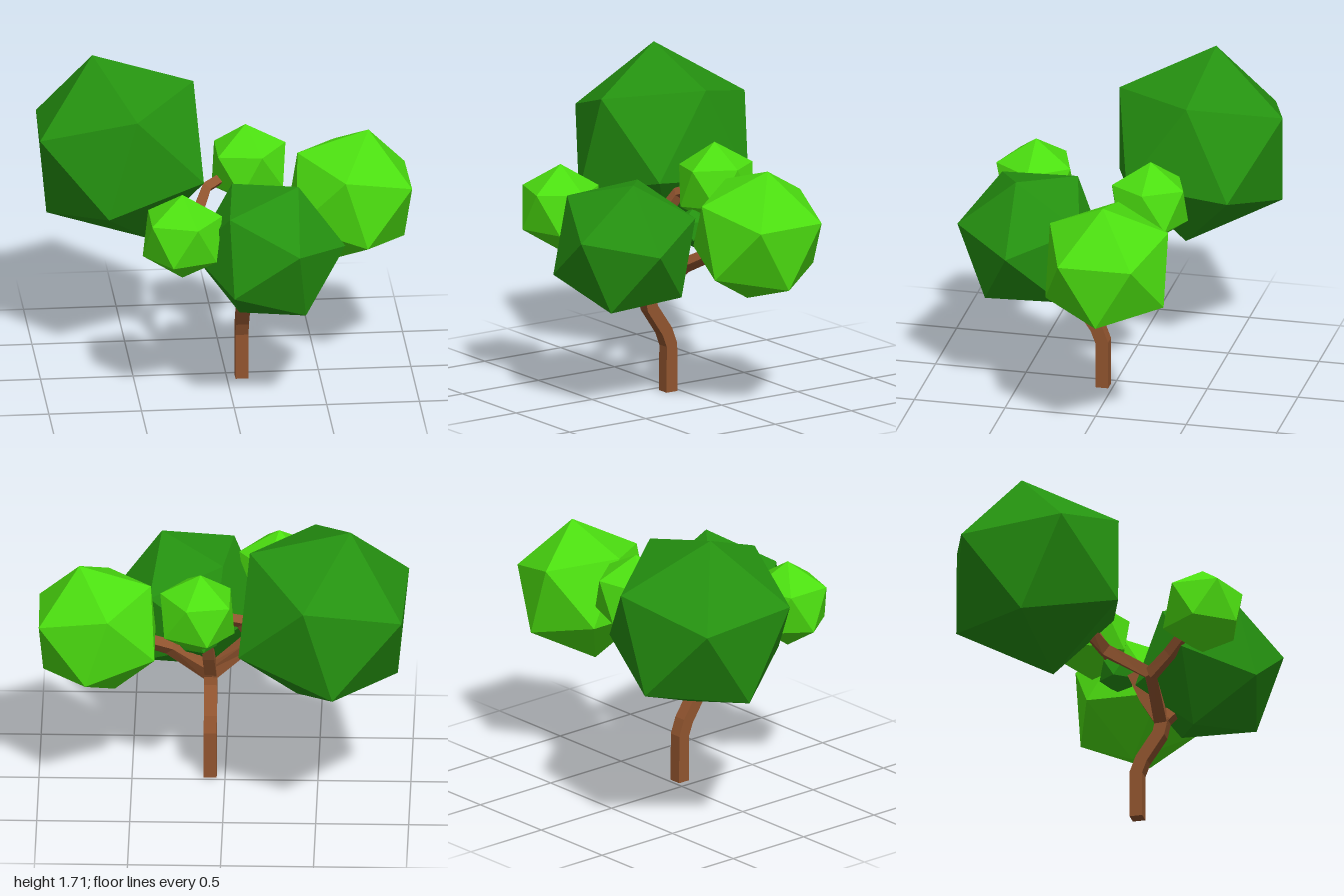
import * as THREE from 'three';

const material = (name, color) => {
  const m = new THREE.MeshStandardMaterial({ color, flatShading: true });
  m.name = name;
  return m;
};
const V = (p) => new THREE.Vector3(...p);

// Orthonormal basis whose first axis is a and whose second lies towards b
function basis(a, b) {
  const x = a.clone().normalize();
  const z = x.clone().cross(b).normalize();
  return new THREE.Matrix4().makeBasis(x, z.clone().cross(x), z);
}

// Icosahedron turned so that two neighbouring corners point along a and b
function foliage(name, mat, center, radius, a, b) {
  const geo = new THREE.IcosahedronGeometry(radius, 0);
  const t = (1 + Math.sqrt(5)) / 2;
  const from = basis(V([-1, t, 0]), V([1, t, 0]));
  geo.applyMatrix4(basis(V(a), V(b)).multiply(from.invert()));
  const mesh = new THREE.Mesh(geo, mat);
  mesh.position.set(...center);
  mesh.name = name;
  return mesh;
}

// Square-section limb swept along points, tapering from w0 to w1
function limb(name, mat, path, w0, w1) {
  const pts = path.map(V);
  const n = pts.length;
  const rings = pts.map((p, i) => {
    const t = new THREE.Vector3();
    if (i > 0) t.add(p.clone().sub(pts[i - 1]).normalize());
    if (i < n - 1) t.add(pts[i + 1].clone().sub(p).normalize());
    t.normalize();
    const u = new THREE.Vector3(1, 0, 0);
    u.addScaledVector(t, -u.dot(t)).normalize();
    const v = t.clone().cross(u);
    const h = (w0 + (w1 - w0) * i / (n - 1)) / 2;
    return [[-1, -1], [1, -1], [1, 1], [-1, 1]].map(([a, b]) =>
      p.clone().addScaledVector(u, a * h).addScaledVector(v, b * h));
  });
  const out = [];
  const quad = (a, b, c, d) => [a, b, c, a, c, d].forEach((p) => out.push(p.x, p.y, p.z));
  for (let i = 0; i < n - 1; i++) {
    for (let j = 0; j < 4; j++) {
      const k = (j + 1) % 4;
      quad(rings[i][j], rings[i][k], rings[i + 1][k], rings[i + 1][j]);
    }
  }
  const [s, e] = [rings[0], rings[n - 1]];
  quad(s[3], s[2], s[1], s[0]);
  quad(e[0], e[1], e[2], e[3]);
  const geo = new THREE.BufferGeometry();
  geo.setAttribute('position', new THREE.Float32BufferAttribute(out, 3));
  geo.computeVertexNormals();
  const mesh = new THREE.Mesh(geo, mat);
  mesh.name = name;
  return mesh;
}

export function createModel() {
  const bark = material('bark brown', 0x92552f);
  const dark = material('dark leaf green', 0x259210);
  const light = material('light leaf green', 0x4cdf10);
  const tree = new THREE.Group();
  tree.name = 'tree';

  // Crooked trunk and its forks
  const fork = [0.08, 0.55, 0.19];
  const limbs = [
    ['trunk', [[0.08, 0, 0.055], [0.08, 0.26, 0.055], [0.08, 0.34, 0.085], [0.08, 0.48, 0.18], [0.08, 0.57, 0.2]], 0.07, 0.07],
    ['rightBranch', [fork, [-0.13, 0.75, 0.18], [-0.16, 0.9, -0.06], [-0.3, 1.0, -0.15]], 0.07, 0.06],
    ['frontRightTwig', [[-0.13, 0.74, 0.18], [-0.18, 0.83, 0.3], [-0.28, 0.98, 0.48]], 0.06, 0.05],
    ['backTwig', [[-0.16, 0.88, -0.05], [-0.09, 1.03, -0.13], [0.08, 1.1, -0.2]], 0.06, 0.045],
    ['leftBranch', [fork, [0.3, 0.75, 0.1], [0.6, 0.92, -0.05]], 0.07, 0.05],
    ['leftTwig', [[0.28, 0.74, 0.11], [0.33, 0.8, 0.25]], 0.05, 0.04],
    ['middleBranch', [fork, [0.09, 0.7, 0.1], [0.1, 0.86, 0.03]], 0.065, 0.06],
    ['frontBranch', [fork, [0.15, 0.75, 0.36]], 0.065, 0.05],
  ];
  for (const [name, path, w0, w1] of limbs) tree.add(limb(name, bark, path, w0, w1));

  // Faceted leaf clusters
  tree.add(
    foliage('largeFoliage', dark, [-0.54, 1.195, -0.34], 0.538, [-0.145, 0.515, -0.05], [0.4, 0.365, -0.01]),
    foliage('frontFoliage', dark, [0.195, 0.88, 0.425], 0.412, [0.155, 0.38, 0.05], [0.405, 0.03, 0.05]),
    foliage('leftFoliage', light, [0.685, 0.97, -0.105], 0.383, [0.095, 0.37, 0], [0.315, 0.095, 0.2]),
    foliage('frontRightFoliage', light, [-0.28, 1.01, 0.51], 0.24, [0, 1, 0], [1, 0.5, 0]),
    foliage('backFoliage', light, [0.143, 1.12, -0.217], 0.232, [-0.017, 0.231, 0], [0.207, 0.12, 0]),
    foliage('innerFoliage', dark, [0.14, 0.9, -0.07], 0.11, [0, 1, 0], [1, 0.5, 0]),
  );
  return tree;
}
